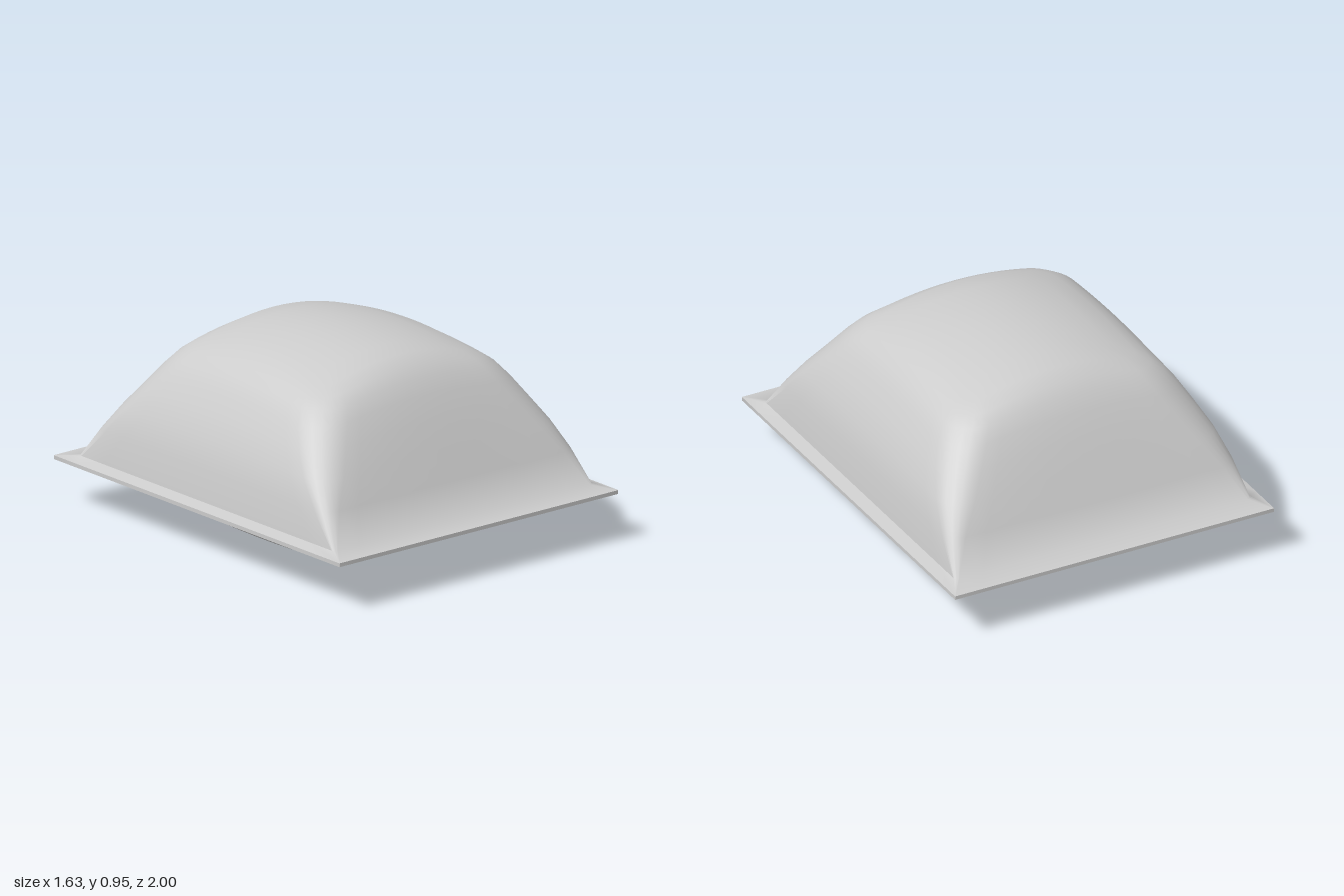
import * as THREE from 'three';
import { toCreasedNormals } from 'three/addons/utils/BufferGeometryUtils.js';

const ARC = 6, SIDE = 12;

// One rounded-rectangle cross-section, counter-clockwise from above.
// a, b: half width and depth; r: corner radius; y: corner height;
// cx, cz: extra height in the middle of the end sides and of the long sides.
function ring([a, b, r, y, cx = 0, cz = 0]) {
  const outline = [];
  for (let k = 0; k < 4; k++) {
    const sx = k === 0 || k === 3 ? 1 : -1;
    const sz = k < 2 ? 1 : -1;
    for (let i = 0; i <= ARC; i++) {
      const t = (k + i / ARC) * Math.PI / 2;
      outline.push([sx * (a - r) + r * Math.cos(t), -(sz * (b - r) + r * Math.sin(t))]);
    }
  }
  const points = [];
  outline.forEach(([x, z], i) => {
    points.push([x, z]);
    if (i % (ARC + 1) !== ARC) return;
    const [x2, z2] = outline[(i + 1) % outline.length];
    for (let s = 1; s < SIDE; s++) {
      points.push([x + (x2 - x) * s / SIDE, z + (z2 - z) * s / SIDE]);
    }
  });
  return points.map(([x, z]) =>
    [x, y + cx * (1 - (x / a) ** 2) + cz * (1 - (z / b) ** 2), z]);
}

// Skin a list of cross-sections, ordered from top to bottom
function loft(name, sections) {
  const rings = sections.map(ring);
  const n = rings[0].length;
  const index = [];
  for (let i = 0; i < rings.length - 1; i++) {
    for (let j = 0; j < n; j++) {
      const p = i * n + j, q = i * n + (j + 1) % n;
      index.push(p, p + n, q + n, p, q + n, q);
    }
  }
  const geometry = new THREE.BufferGeometry();
  geometry.setAttribute('position', new THREE.Float32BufferAttribute(rings.flat(2), 3));
  geometry.setIndex(index);
  const mesh = new THREE.Mesh(
    toCreasedNormals(geometry, 1.1),
    new THREE.MeshStandardMaterial({ color: 0xcccccc, side: THREE.DoubleSide })
  );
  mesh.name = name;
  return mesh;
}

// Gently crowned square panel section at fraction t of its half size
const panel = (t, half, r, centre, dx, dz) =>
  [half * t, half * t, r * t, centre + (dx + dz) * t * t, -dx * t * t, -dz * t * t];

export function createModel() {
  const group = new THREE.Group();
  group.name = 'domedContainer';

  // Crowned top, rounded shoulders, flaring walls and upper face of the rim
  group.add(loft('domedLid', [
    ...[0.002, 0.25, 0.5, 0.75, 1].map(t => panel(t, 0.44, 0.08, 0.947, -0.08, -0.04)),
    [0.50, 0.51, 0.12, 0.792, 0.075, 0.038],
    [0.55, 0.56, 0.15, 0.755, 0.065, 0.035],
    [0.60, 0.61, 0.16, 0.695, 0.06, 0.025],
    [0.65, 0.67, 0.15, 0.61, 0.045, 0.02],
    [0.70, 0.74, 0.13, 0.515, 0.02, 0.015],
    [0.735, 0.81, 0.08, 0.40],
    [0.755, 0.895, 0.02, 0.252],
    [0.813, 1, 0.002, 0.236],
  ]));

  // Rim edge, sloping underside and shallow bowed bottom
  group.add(loft('tray', [
    [0.813, 1, 0.002, 0.236],
    [0.813, 1, 0.002, 0.218],
    [0.74, 0.90, 0.03, 0.208, -0.006],
    [0.60, 0.69, 0.06, 0.125, -0.012],
    ...[1, 0.75, 0.5, 0.25, 0.002].map(t => panel(t, 0.44, 0.05, 0, 0.02, 0.015)),
  ]));

  return group;
}
